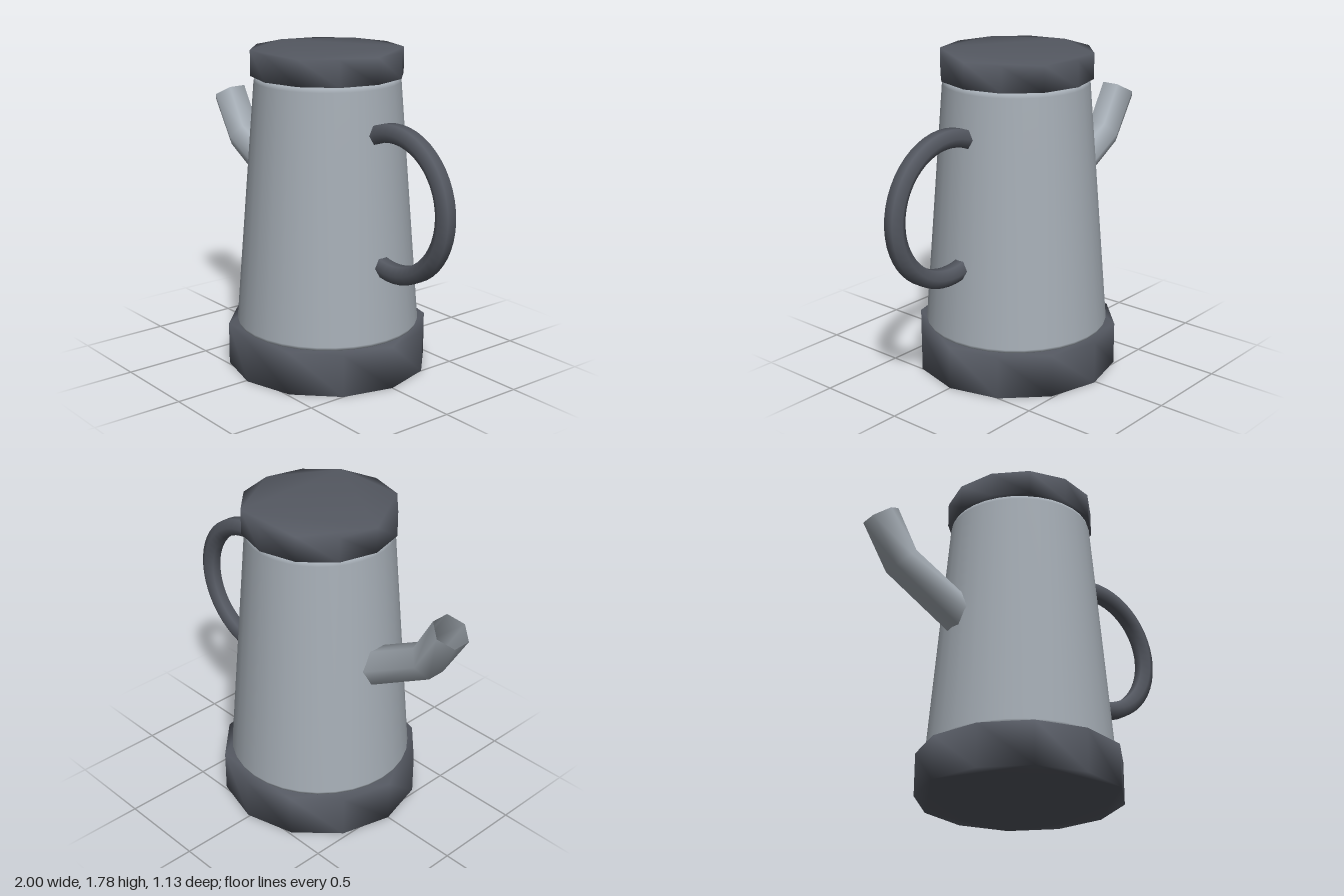
import * as THREE from 'three';
import { mergeVertices } from 'three/addons/utils/BufferGeometryUtils.js';

const AXIS = 0.012; // x of the pot's upright axis

// Weld all corners so shading runs smoothly over the edges
function smooth(geometry) {
  geometry.deleteAttribute('normal');
  geometry.deleteAttribute('uv');
  const welded = mergeVertices(geometry, 1e-4);
  welded.computeVertexNormals();
  return welded;
}

// Solid twelve-sided disc from y0 to y1
function disc(radius, y0, y1) {
  const points = [];
  for (let i = 0; i < 12; i++) {
    const a = (i / 12) * Math.PI * 2;
    points.push(new THREE.Vector2(radius * Math.cos(a), radius * Math.sin(a)));
  }
  const g = new THREE.ExtrudeGeometry(new THREE.Shape(points), { depth: y1 - y0, bevelEnabled: false });
  g.rotateX(-Math.PI / 2);
  g.translate(AXIS, y0, 0);
  return smooth(g);
}

// Open six-sided pipe; each station is [x, y, offset x, offset y]
function hexPipe(stations, radius) {
  const pos = [], index = [];
  for (const [x, y, ox, oy] of stations) {
    for (let i = 0; i < 6; i++) {
      const a = (i / 6) * Math.PI * 2, s = Math.sin(a);
      pos.push(x + ox * s, y + oy * s, radius * Math.cos(a));
    }
  }
  for (let j = 0; j < stations.length - 1; j++) {
    for (let i = 0; i < 6; i++) {
      const a = j * 6 + i, b = j * 6 + ((i + 1) % 6);
      index.push(a, b, a + 6, b, b + 6, a + 6);
    }
  }
  const g = new THREE.BufferGeometry();
  g.setAttribute('position', new THREE.Float32BufferAttribute(pos, 3));
  g.setIndex(index);
  g.computeVertexNormals();
  return g;
}

export function createModel() {
  const steel = new THREE.MeshStandardMaterial({ color: 0xa6aeb6, side: THREE.DoubleSide });
  steel.name = 'light steel';
  const dark = new THREE.MeshStandardMaterial({ color: 0x555962 });
  dark.name = 'dark grey';

  const model = new THREE.Group();
  model.name = 'coffeePot';
  const add = (name, geometry, material) => {
    const mesh = new THREE.Mesh(geometry, material);
    mesh.name = name;
    model.add(mesh);
    return mesh;
  };

  // Base and lid
  add('base', disc(0.563, 0, 0.237), dark);
  add('lid', disc(0.42, 1.645, 1.785), dark);

  // Tapered body with small rounded rims
  const profile = [
    [0, 0.237], [0.485, 0.237], [0.503, 0.243], [0.511, 0.262],
    [0.401, 1.615], [0.394, 1.636], [0.375, 1.645], [0, 1.645],
  ].map(([r, y]) => new THREE.Vector2(r, y));
  const body = add('body', new THREE.LatheGeometry(profile, 32), steel);
  body.position.x = AXIS;

  // Ring handle, six-sided, its ends sunk in the body
  const reach = THREE.MathUtils.degToRad(116);
  const ring = new THREE.TorusGeometry(0.377, 0.055, 6, 32, reach * 2);
  // turn the hexagon is not needed: flats already face out when corners point along z
  const p = ring.attributes.position;
  for (let j = 0; j <= 6; j++) {
    for (let i = 0; i <= 32; i++) {
      const v = (j / 6) * Math.PI * 2 + Math.PI / 6;
      const u = (i / 32) * reach * 2 - reach;
      const r = 0.377 + 0.055 * Math.cos(v);
      p.setXYZ(j * 33 + i, r * Math.cos(u), r * Math.sin(u), 0.055 * Math.sin(v));
    }
  }
  const handle = add('handle', smooth(ring), dark);
  handle.position.set(0.575, 1.035, 0);

  // Bent open spout
  add('spout', hexPipe([
    [-0.37, 0.945, 0.046, 0.08],
    [-0.785, 1.175, 0.06, 0.065],
    [-0.925, 1.407, 0.075, 0.048],
  ].map(([x, y, ox, oy]) => [x, y, ox * 1.155, oy * 1.155]), 0.104), steel);

  return model;
}
